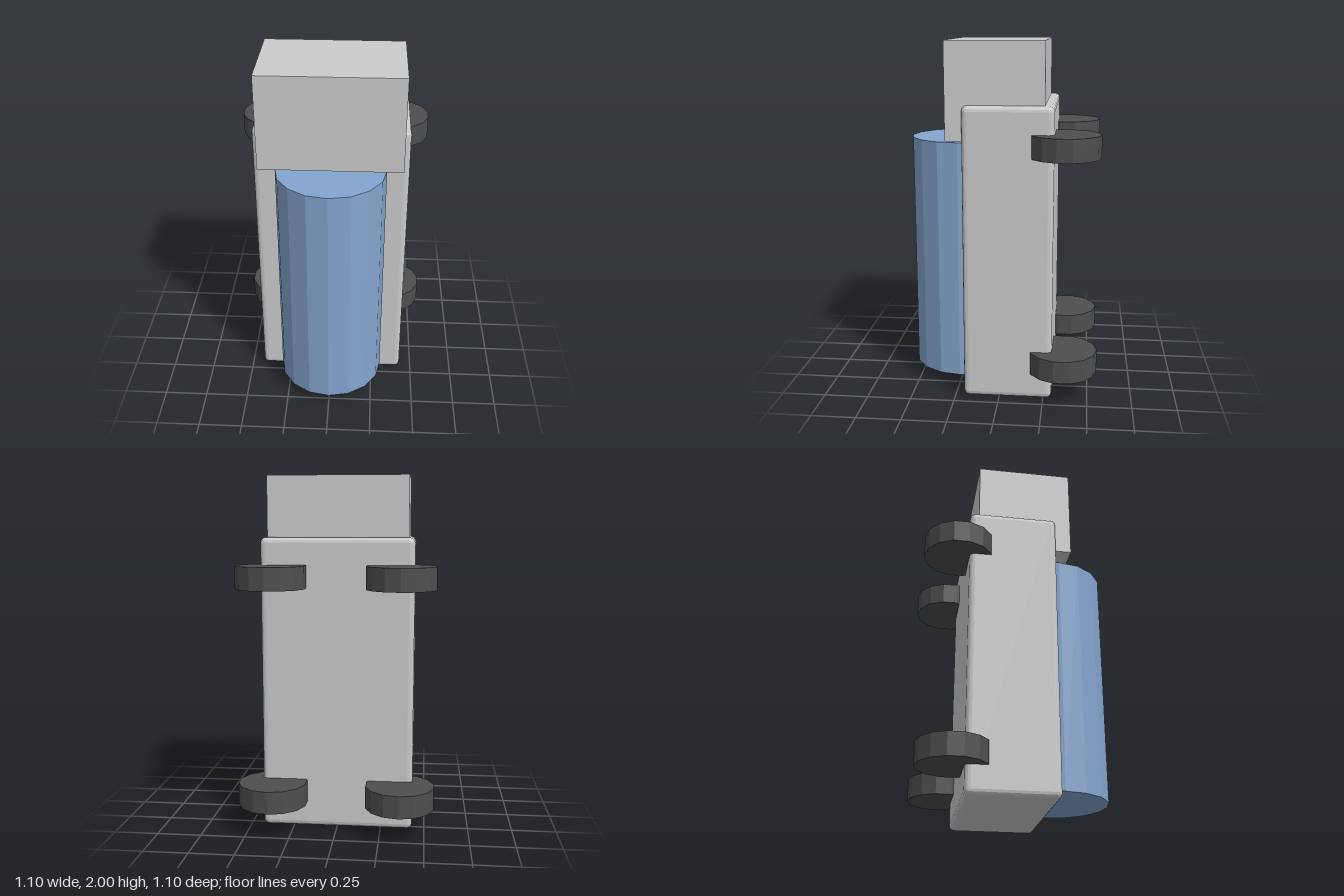
import * as THREE from 'three';
import { RoundedBoxGeometry } from 'three/addons/geometries/RoundedBoxGeometry.js';

export function createModel() {
  const model = new THREE.Group();
  const material = (color) => new THREE.MeshStandardMaterial({ color, flatShading: true });
  const grey = material(0xcccccc);
  const blue = material(0x84a5cf);
  const dark = material(0x4e4e4e);

  const add = (name, geometry, mat, x, y, z) => {
    const mesh = new THREE.Mesh(geometry, mat);
    mesh.name = name;
    mesh.position.set(x, y, z);
    model.add(mesh);
  };

  // Main block with softly bevelled edges
  add('body', new RoundedBoxGeometry(0.86, 1.66, 0.5, 2, 0.03), grey, 0, 0.83, -0.047);

  // Box on top, overhanging the front
  add('cab', new THREE.BoxGeometry(0.79, 0.535, 0.54), grey, 0, 1.7325, 0.025);

  // Upright tank half sunk into the front
  add('tank', new THREE.CylinderGeometry(0.305, 0.305, 1.375, 16), blue, 0, 0.7575, 0.243);

  // Four flat wheels on the rear corners
  const wheel = new THREE.CylinderGeometry(0.195, 0.195, 0.127, 14);
  for (const [level, y] of [['lower', 0.218], ['upper', 1.445]]) {
    for (const [side, sx] of [['Left', 1], ['Right', -1]]) {
      add(`${level}${side}Wheel`, wheel, dark, sx * 0.36, y, -0.355);
    }
  }

  return model;
}
